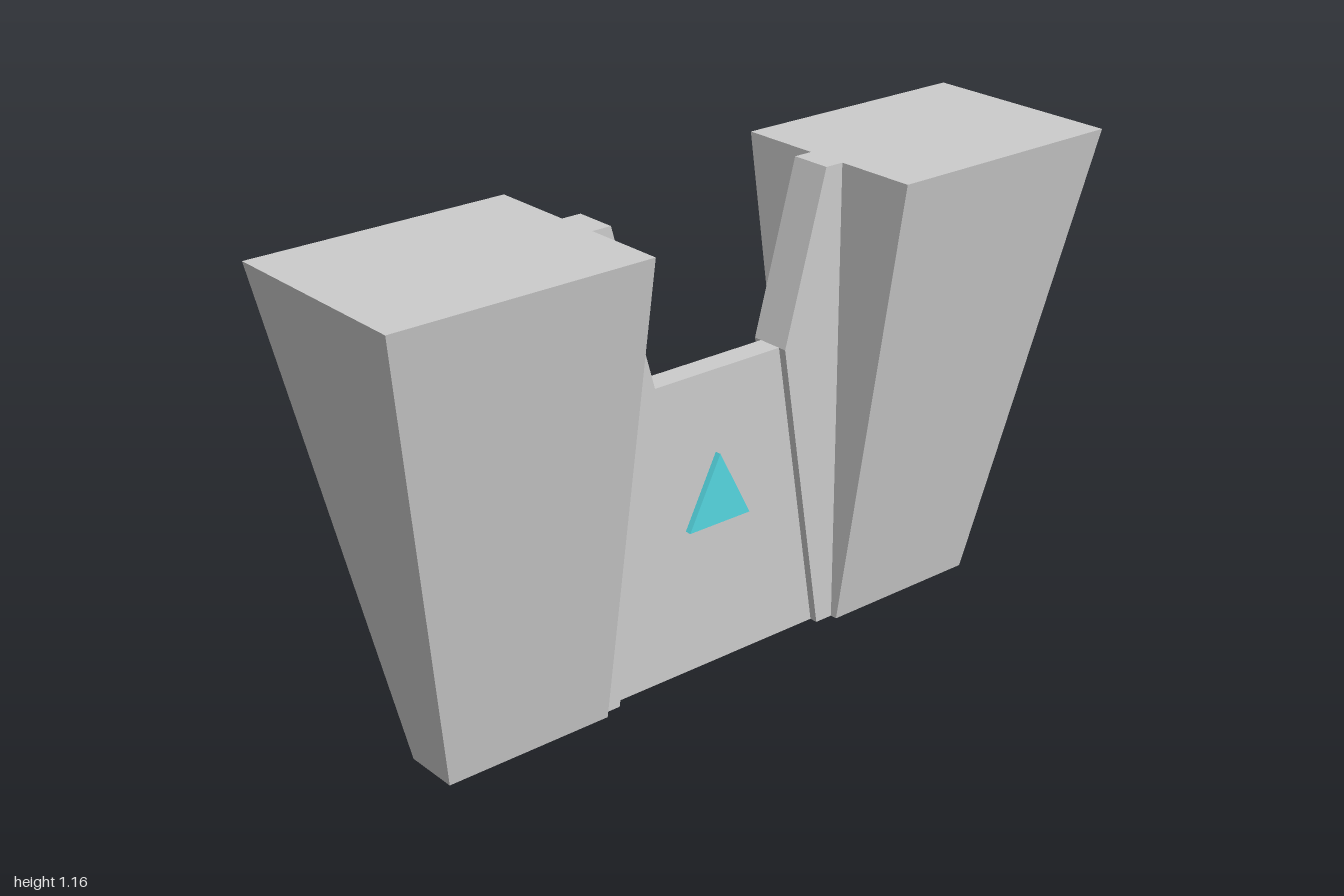
import * as THREE from 'three';

const grey = new THREE.MeshStandardMaterial({ color: 0xcccccc, flatShading: true, side: THREE.DoubleSide });
const cyan = new THREE.MeshStandardMaterial({ color: 0x55d6e0 });

// Open-bottomed solid lofted through rectangular rings [y, halfWidth, zBack, zFront]
function loft(name, rings) {
  const corners = rings.map(([y, w, z0, z1]) => [[-w, y, z1], [w, y, z1], [w, y, z0], [-w, y, z0]]);
  const pos = [];
  const quad = (a, b, c, d) => pos.push(...a, ...b, ...c, ...a, ...c, ...d);
  for (let r = 0; r < corners.length - 1; r++) {
    const lo = corners[r], hi = corners[r + 1];
    for (let i = 0; i < 4; i++) {
      const j = (i + 1) % 4;
      quad(lo[i], lo[j], hi[j], hi[i]);
    }
  }
  quad(...corners[corners.length - 1]);
  const geo = new THREE.BufferGeometry();
  geo.setAttribute('position', new THREE.Float32BufferAttribute(pos, 3));
  geo.computeVertexNormals();
  const mesh = new THREE.Mesh(geo, grey);
  mesh.name = name;
  return mesh;
}

export function createModel() {
  const model = new THREE.Group();
  const H = 1.163, waist = 0.75;

  // Tapered end block with its bent flange, repeated at the back
  for (const side of ['front', 'back']) {
    const end = new THREE.Group();
    end.name = side + 'End';
    end.add(
      loft('block', [[0, 0.07, 0.356, 0.79], [H, 0.26, 0.356, 1]]),
      loft('flange', [[0, 0.052, 0.307, 0.36], [waist, 0.052, 0.19, 0.36], [H, 0.052, 0.307, 0.36]])
    );
    if (side === 'back') end.rotation.y = Math.PI;
    model.add(end);
  }

  // Thin connecting wall
  model.add(loft('wall', [[0, 0.031, -0.308, 0.308], [waist, 0.031, -0.192, 0.192]]));

  // Triangular marker showing on both faces of the wall
  const tri = new THREE.Shape([[-0.09, 0.37], [0.09, 0.37], [0, 0.545]].map(([x, y]) => new THREE.Vector2(x, y)));
  const geo = new THREE.ExtrudeGeometry(tri, { depth: 0.094, bevelEnabled: false });
  geo.translate(0, 0, -0.047).rotateY(Math.PI / 2);
  const marker = new THREE.Mesh(geo, cyan);
  marker.name = 'triangleMarker';
  model.add(marker);

  return model;
}
